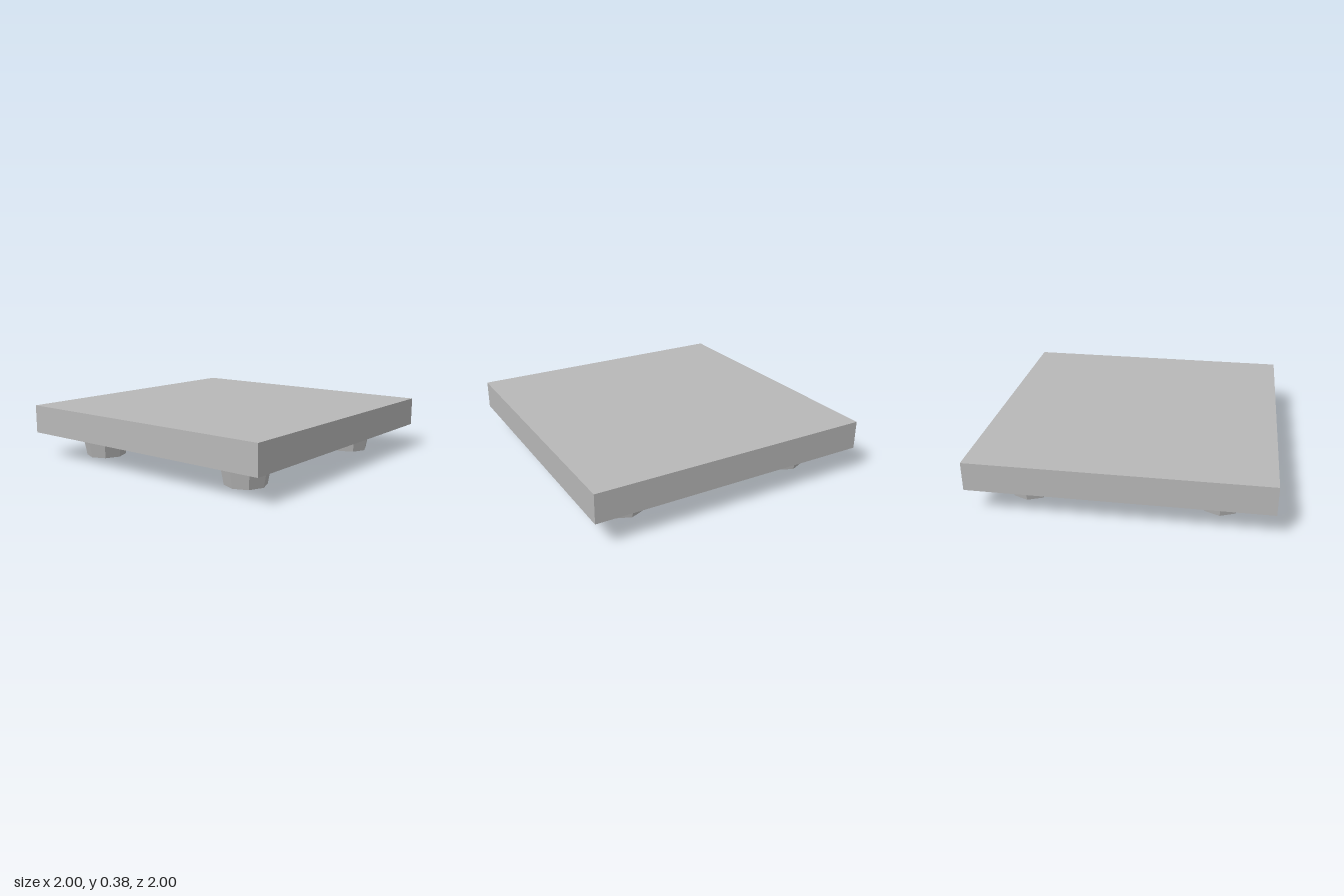
import * as THREE from 'three';

export function createModel() {
  const model = new THREE.Group();
  const grey = new THREE.MeshStandardMaterial({ color: 0xb8b8b8, flatShading: true });
  grey.name = 'grey';

  // Square slab
  const slab = new THREE.Mesh(new THREE.BoxGeometry(2, 0.2, 2), grey);
  slab.name = 'slab';
  slab.position.y = 0.275;
  model.add(slab);

  // Four tapered eight-sided feet
  const footGeometry = new THREE.CylinderGeometry(0.173, 0.14, 0.175, 8);
  for (const x of [-1, 1]) {
    for (const z of [-1, 1]) {
      const foot = new THREE.Mesh(footGeometry, grey);
      foot.name = (z > 0 ? 'front' : 'back') + (x > 0 ? 'Left' : 'Right') + 'Foot';
      foot.position.set(x * 0.65, 0.0875, z * 0.65);
      model.add(foot);
    }
  }
  return model;
}
